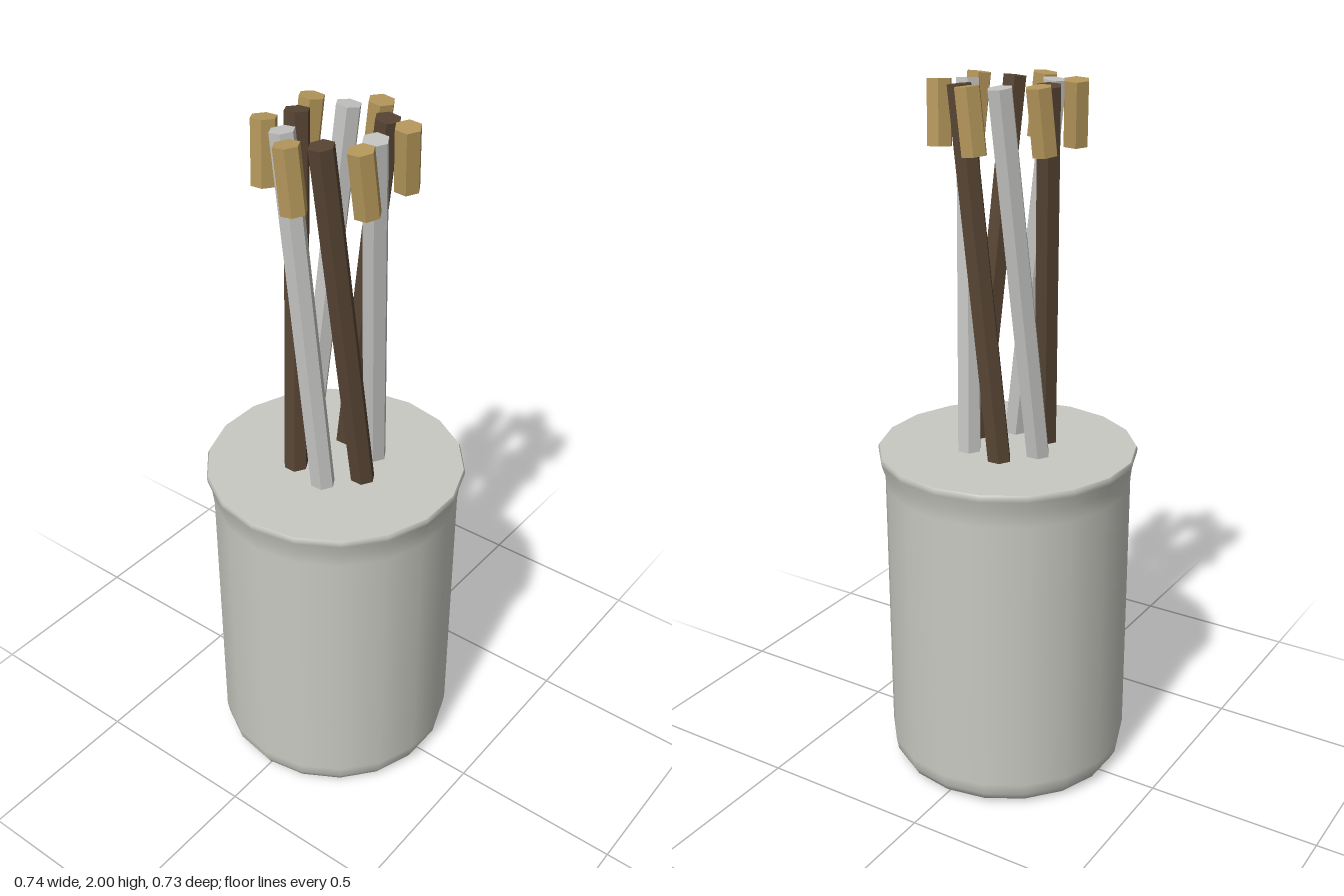
import * as THREE from 'three';

const material = (name, color) => {
  const m = new THREE.MeshStandardMaterial({ color });
  m.name = name;
  return m;
};

// Faceted hexagonal bar whose top end sits at the origin
function hexBar(radius, length) {
  const g = new THREE.CylinderGeometry(radius, radius, length, 6).toNonIndexed();
  g.translate(0, -length / 2, 0);
  g.computeVertexNormals();
  return g;
}

export function createModel() {
  const model = new THREE.Group();
  model.name = 'bundledRodsInCup';

  const shellGrey = material('shellGrey', 0xc9c9c2);
  const silver = material('silver', 0xc2c2c0);
  const darkBrown = material('darkBrown', 0x564433);
  const brass = material('brass', 0xb3965a);

  // Closed body with rounded foot and flared rim; repeated points keep edges sharp
  const profile = [
    [0, 0], [0.31, 0], [0.31, 0], [0.333, 0.012], [0.346, 0.035], [0.352, 0.07],
    [0.352, 0.88], [0.357, 0.925], [0.368, 0.96], [0.37, 0.972],
    [0.366, 0.98], [0.366, 0.98], [0, 0.98],
  ].map(([r, y]) => new THREE.Vector2(r, y));
  const body = new THREE.Mesh(new THREE.LatheGeometry(profile, 18, Math.PI / 2), shellGrey);
  body.name = 'body';
  model.add(body);

  // Six leaning rods in a twisted ring, each with a short brass bar outside it
  const rodGeometry = hexBar(0.035, 1.08);
  const tipGeometry = hexBar(0.036, 0.172);
  const lean = -Math.atan(0.117);

  for (let i = 0; i < 6; i++) {
    const spoke = new THREE.Group();
    spoke.name = `rodSet${i + 1}`;
    spoke.rotation.y = -i * Math.PI / 3;

    const rod = new THREE.Mesh(rodGeometry, i % 2 ? darkBrown : silver);
    rod.name = 'rod';
    rod.position.set(-0.107, 1.99, -0.08);
    rod.rotation.x = lean;

    const tip = new THREE.Mesh(tipGeometry, brass);
    tip.name = 'brassTip';
    tip.position.set(-0.178, 1.996, -0.009);
    tip.rotation.x = lean;

    spoke.add(rod, tip);
    model.add(spoke);
  }
  return model;
}
